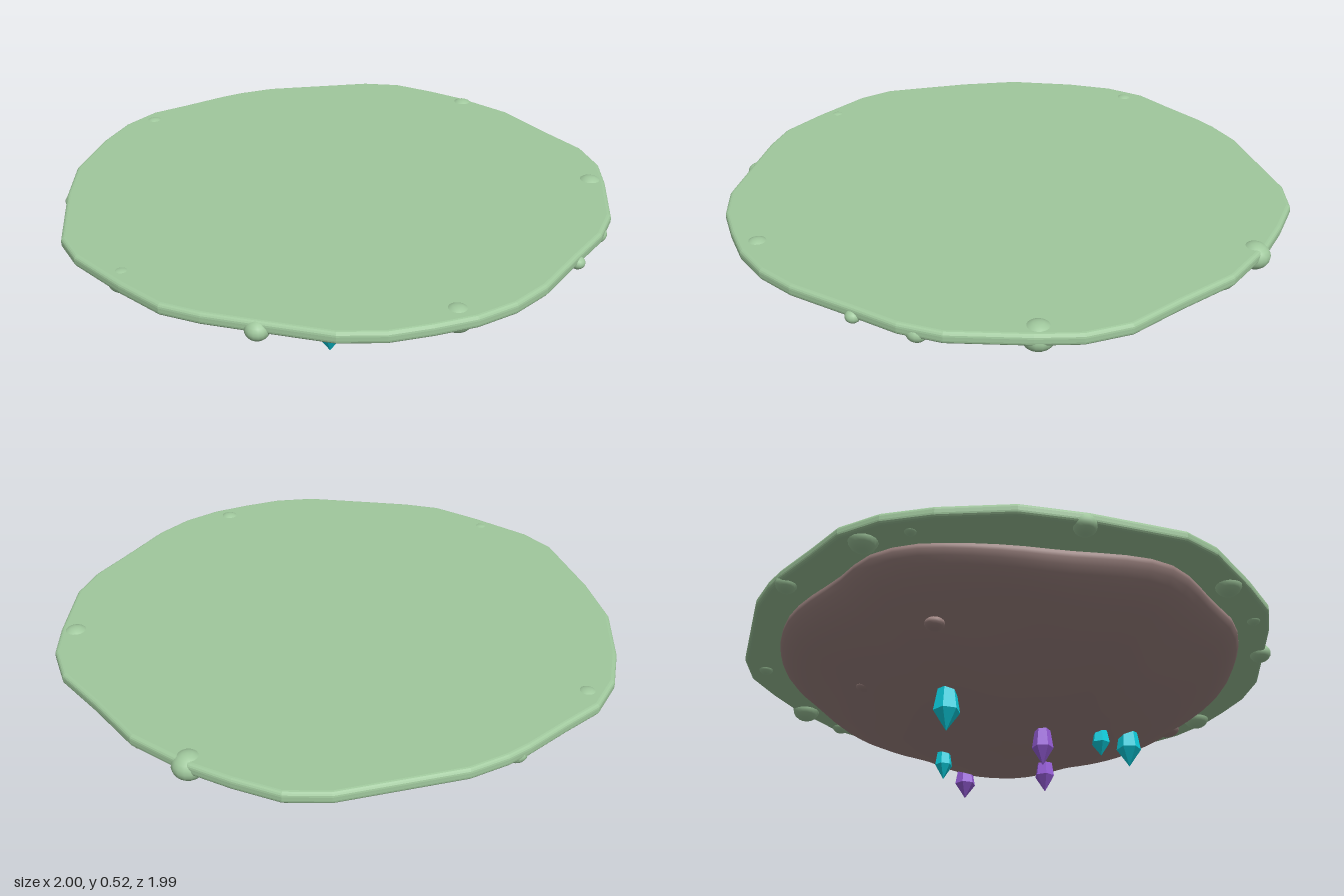
import * as THREE from 'three';

const mat = (name, color, extra = {}) => {
  const m = new THREE.MeshStandardMaterial({ color, ...extra });
  m.name = name;
  return m;
};

// Island outline as x, z pairs, starting at the back
const OUTLINE = [
  [-0.155, -0.99], [0.27, -0.99], [0.41, -0.95], [0.54, -0.85], [0.65, -0.75], [0.8, -0.565],
  [0.89, -0.355], [0.98, -0.165], [0.995, -0.01], [0.965, 0.135], [0.89, 0.39], [0.81, 0.515],
  [0.685, 0.64], [0.525, 0.805], [0.405, 0.89], [0.27, 0.945], [0.13, 0.97], [-0.01, 0.985],
  [-0.16, 0.965], [-0.395, 0.865], [-0.545, 0.8], [-0.665, 0.73], [-0.785, 0.59], [-0.93, 0.395],
  [-0.98, 0.265], [-0.98, -0.065], [-0.957, -0.29], [-0.866, -0.527], [-0.78, -0.68],
  [-0.67, -0.79], [-0.53, -0.853], [-0.37, -0.93], [-0.29, -0.96],
];

// Flat grass slab with a rounded rim
function grassGeometry() {
  const shape = new THREE.Shape(OUTLINE.map(([x, z]) => new THREE.Vector2(x, z)));
  const geo = new THREE.ExtrudeGeometry(shape, {
    depth: 0.013, bevelEnabled: true, bevelThickness: 0.015,
    bevelSize: 0.015, bevelOffset: -0.01, bevelSegments: 4,
  });
  return geo.rotateX(Math.PI / 2).translate(0, 0.504, 0);
}

// Smooth rock bowl: scaled copies of the outline, closed by one bottom point
function rockGeometry() {
  const profile = new THREE.CatmullRomCurve3([
    [0.86, 0.49], [0.865, 0.455], [0.815, 0.39], [0.7, 0.315], [0.54, 0.235], [0.33, 0.163], [0.12, 0.129],
  ].map(([r, y]) => new THREE.Vector3(r, y, 0))).getPoints(18);
  const rim = new THREE.CatmullRomCurve3(
    OUTLINE.map(([x, z]) => new THREE.Vector3(x, 0, z)), true).getSpacedPoints(64).slice(0, 64);
  const n = rim.length, pos = [], index = [];
  profile.forEach((p, i) => rim.forEach((v) => {
    const a = Math.atan2(v.z, v.x);
    const k = p.x * (1 + 0.02 * Math.sin(3 * a + 1) + 0.015 * Math.sin(7 * a));
    const lump = 0.006 * Math.sin(5 * a + i * 0.3) * Math.sin(Math.PI * i / 18);
    pos.push(v.x * k, p.y + lump, v.z * k);
  }));
  pos.push(0, 0.123, 0);
  const last = profile.length - 1;
  for (let i = 0; i <= last; i++) {
    for (let j = 0; j < n; j++) {
      const a = i * n + j, b = i * n + (j + 1) % n;
      if (i === last) index.push(a, b, (last + 1) * n);
      else index.push(a, b, a + n, b, b + n, a + n);
    }
  }
  const geo = new THREE.BufferGeometry();
  geo.setAttribute('position', new THREE.Float32BufferAttribute(pos, 3));
  geo.setIndex(index);
  geo.computeVertexNormals();
  return geo;
}

// Faceted crystal hanging from its tip upward
function crystalGeometry(r, h) {
  return new THREE.LatheGeometry([
    [0, 0], [r, h * 0.44], [r * 0.7, h * 0.95], [0, h * 1.1],
  ].map(([x, y]) => new THREE.Vector2(x, y)), 6);
}

export function createModel() {
  const group = new THREE.Group();
  const grass = mat('grass green', 0xa0c89d);
  const rock = mat('rock brown', 0xa08683);
  const cyan = mat('cyan crystal', 0x0cd2e2, { flatShading: true });
  const purple = mat('purple crystal', 0x9a60dd, { flatShading: true });
  const add = (name, geo, material, x = 0, y = 0, z = 0) => {
    const m = new THREE.Mesh(geo, material);
    m.name = name;
    m.position.set(x, y, z);
    group.add(m);
    return m;
  };

  add('grassTop', grassGeometry(), grass);
  add('rockUnderside', rockGeometry(), rock);

  // Moss clumps along the rim: x, z, radius
  const ball = new THREE.SphereGeometry(1, 16, 10);
  [
    [0.92, 0.11, 0.056], [0.22, 0.89, 0.052], [-0.78, 0.515, 0.047], [-0.67, -0.71, 0.05],
    [0.645, -0.71, 0.054], [0.765, -0.545, 0.036], [0.31, -0.91, 0.028], [-0.335, -0.91, 0.038],
    [0.82, 0.455, 0.036], [0.69, 0.63, 0.026], [-0.38, 0.86, 0.04], [-0.955, -0.07, 0.04],
    [-0.77, -0.58, 0.022], [-0.6, 0.71, 0.025],
  ].forEach(([x, z, r]) => add('mossClump', ball, grass, x, 0.483, z).scale.set(r, r * 0.85, r));

  // Stones set in the rock: x, y, z, radius
  [
    [0.07, 0.335, 0.675, 0.047], [-0.08, 0.268, -0.585, 0.03], [-0.54, 0.298, -0.44, 0.035],
  ].forEach(([x, y, z, r]) => add('stone', ball, rock, x, y, z).scale.set(r, r * 0.6, r));

  // Hanging crystals: material, x, tip y, z, radius, height
  [
    [cyan, -0.285, 0.04, -0.33, 0.048, 0.165], [cyan, -0.1, 0.076, 0.425, 0.046, 0.155],
    [cyan, -0.165, 0.076, 0.285, 0.034, 0.11], [cyan, 0.17, 0.05, -0.225, 0.033, 0.125],
    [purple, -0.175, 0.006, 0.055, 0.039, 0.15], [purple, 0.12, 0.027, 0.165, 0.038, 0.14],
    [purple, 0.485, 0.106, -0.055, 0.042, 0.135],
  ].forEach(([m, x, y, z, r, h], i) => {
    add('crystal', crystalGeometry(r, h), m, x, y, z).rotation.y = i * 0.7;
  });

  return group;
}
